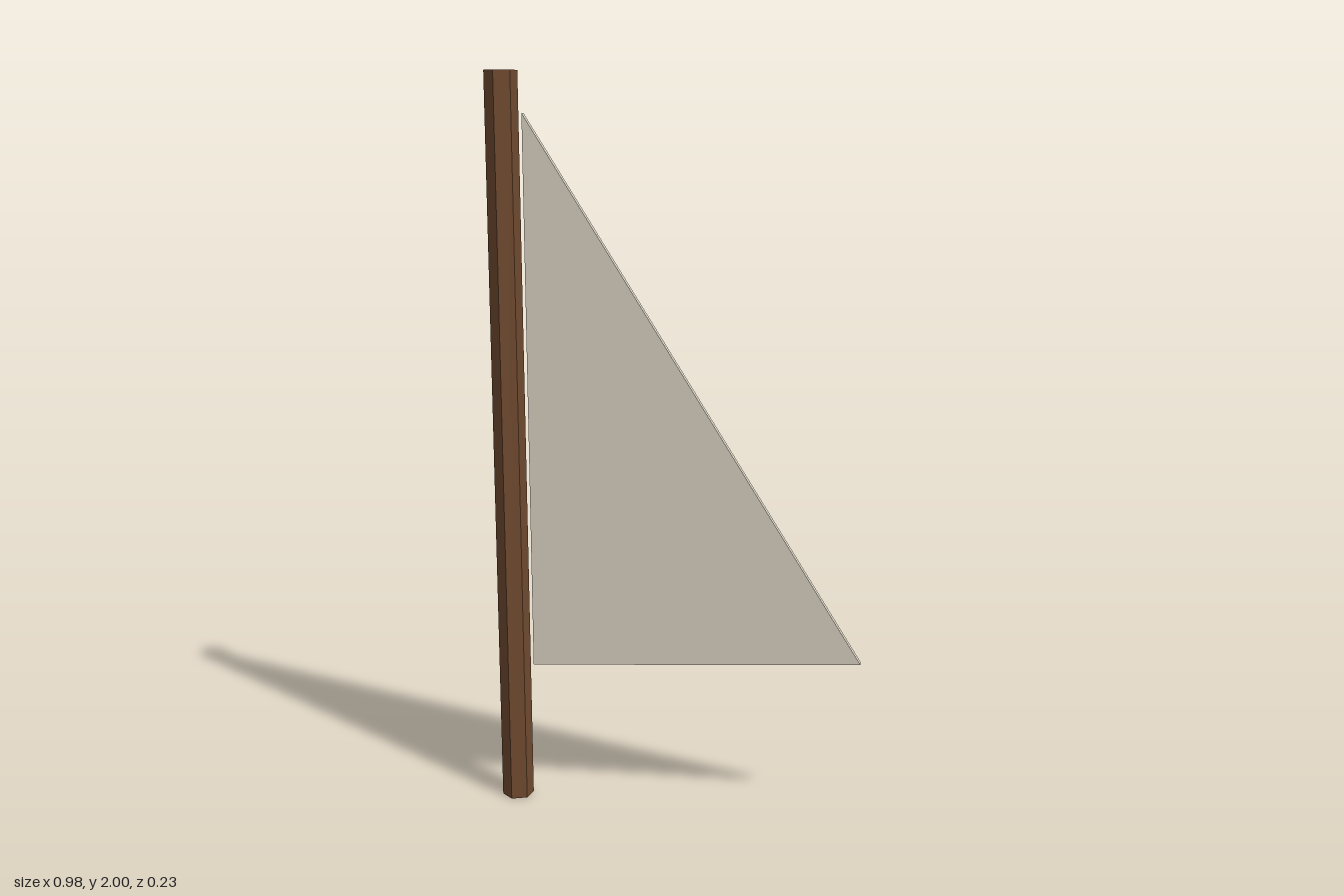
import * as THREE from 'three';

export function createModel() {
  const model = new THREE.Group();
  const add = (name, geometry, color) => {
    const mesh = new THREE.Mesh(geometry, new THREE.MeshStandardMaterial({ color, flatShading: true }));
    mesh.name = name;
    model.add(mesh);
    return mesh;
  };

  // Hexagonal mast, one corner facing the front
  const mast = add('mast', new THREE.CylinderGeometry(0.0435, 0.0435, 2, 6), 0x6f4a2f);
  mast.position.set(-0.455, 1, 0.071);

  // Triangular sail: a thin slab, swung backwards from its luff
  const thickness = 0.021;
  const outline = new THREE.Shape([
    new THREE.Vector2(0, 0.393),
    new THREE.Vector2(0.904, 0.449),
    new THREE.Vector2(0, 1.892),
  ]);
  const sailGeometry = new THREE.ExtrudeGeometry(outline, { depth: thickness, bevelEnabled: false });
  sailGeometry.translate(0, 0, -thickness / 2);
  const sail = add('sail', sailGeometry, 0xd9d2c3);
  sail.position.set(-0.401, 0, 0.0585);
  sail.rotation.y = 0.1835;

  return model;
}
